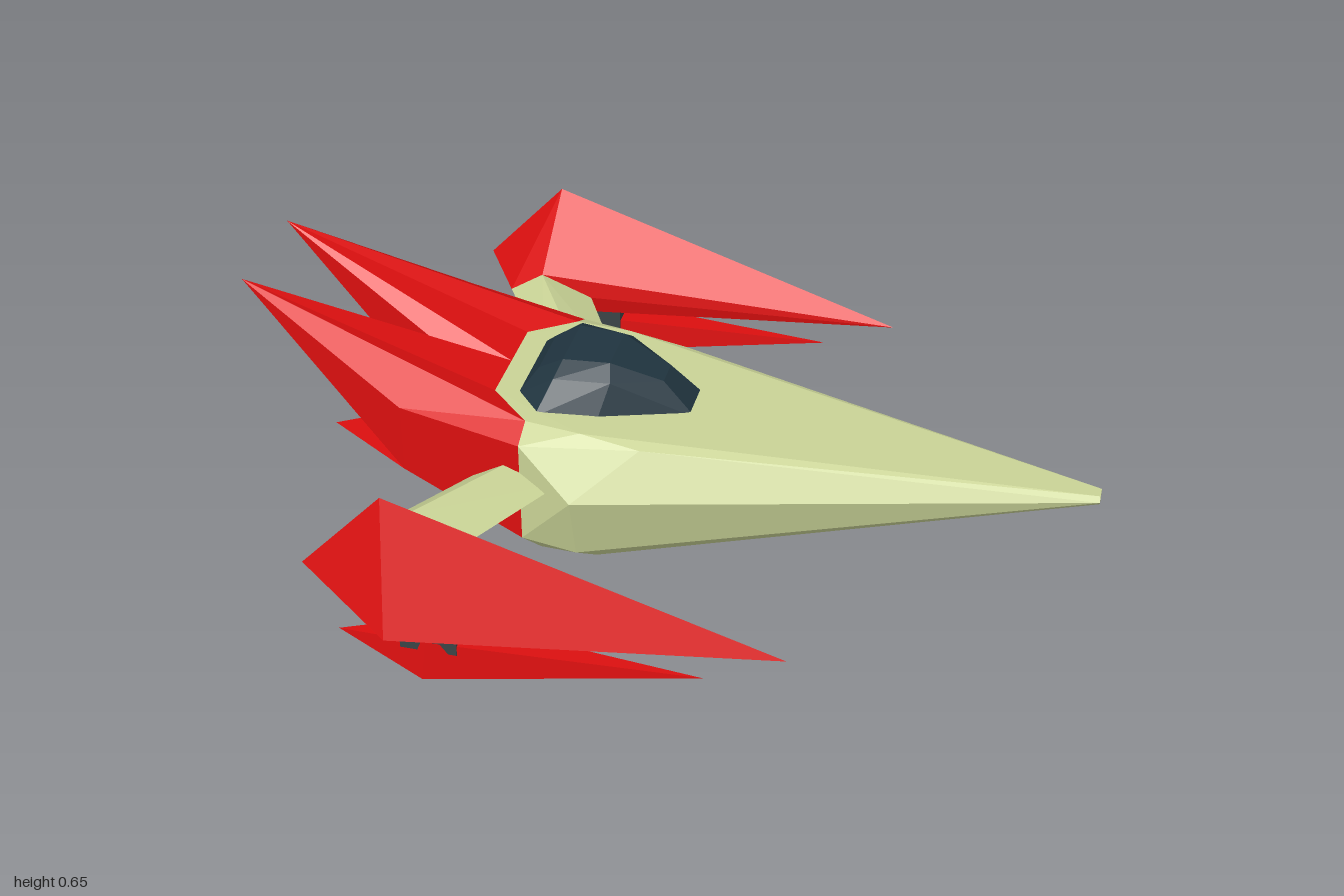
import * as THREE from 'three';
import { ConvexGeometry } from 'three/addons/geometries/ConvexGeometry.js';

const paint = (name, color) => {
  const m = new THREE.MeshStandardMaterial({ color, side: THREE.DoubleSide });
  m.name = name;
  return m;
};

// Faceted solid around a few corner points
function solid(name, points, material) {
  const geo = new ConvexGeometry(points.map(p => new THREE.Vector3(...p)));
  const mesh = new THREE.Mesh(geo, material);
  mesh.name = name;
  return mesh;
}

// Points plus their copies on the other side of the centre plane
const both = pts => pts.flatMap(([x, y, z]) => [[x, y, z], [x, y, -z]]);

// Faceted surface from named corners; side = -1 mirrors it
function facets(name, corners, faces, side, material) {
  const pos = [];
  for (const face of faces) {
    for (let i = 1; i < face.length - 1; i++) {
      const tri = [face[0], face[i], face[i + 1]];
      if (side < 0) tri.reverse();
      for (const k of tri) {
        const [x, y, z] = corners[k];
        pos.push(x, y, z * side);
      }
    }
  }
  const geo = new THREE.BufferGeometry();
  geo.setAttribute('position', new THREE.Float32BufferAttribute(pos, 3));
  geo.computeVertexNormals();
  const mesh = new THREE.Mesh(geo, material);
  mesh.name = name;
  return mesh;
}

export function createModel() {
  const red = paint('red', 0xdb0f0f);
  const green = paint('paleGreen', 0xc9d396);
  const glass = paint('darkBlueGlass', 0x20343f);
  const grey = paint('darkGrey', 0x3a4446);
  const model = new THREE.Group();
  model.name = 'starship';

  // Long pointed hull
  model.add(solid('hull', both([
    [1, 0.29, 0.015], [1, 0.28, 0.027], [1, 0.268, 0.015],
    [-0.03, 0.385, 0.225], [-0.17, 0.41, 0.225], [-0.17, 0.28, 0.325],
    [-0.17, 0.11, 0.28], [-0.16, 0, 0.14],
    [-0.3, 0, 0.14], [-0.3, 0.13, 0.28], [-0.3, 0.39, 0.28],
    [-0.3, 0.42, 0.22], [-0.4, 0.43, 0.13],
  ]), green));

  // Cockpit canopy
  model.add(solid('canopy', both([
    [-0.35, 0.42, 0.115], [-0.29, 0.41, 0.185], [-0.15, 0.4, 0.15], [0.06, 0.375, 0.05],
    [-0.31, 0.47, 0.07], [-0.26, 0.48, 0.125], [-0.13, 0.475, 0.105], [-0.02, 0.455, 0.035],
    [-0.25, 0.505, 0.075], [-0.14, 0.505, 0.065],
  ]), glass));

  // Tail block with an upper and a lower spike on each side
  const tail = {
    a: [-0.3, 0.42, 0.22], b: [-0.4, 0.43, 0.13], c: [-0.4, 0.43, 0],
    d: [-0.58, 0.45, 0], e: [-0.58, 0.45, 0.28], f: [-0.3, 0.39, 0.28],
    g: [-0.58, 0.28, 0.28], h: [-0.3, 0.13, 0.28], i: [-0.3, 0, 0.14],
    m: [-0.58, 0.28, 0], n: [-0.3, 0, 0],
    T: [-1, 0.65, 0.14], L: [-0.8, 0.28, 0.14],
  };
  const redFaces = ['cdT', 'cTb', 'bTa', 'aTe', 'aef', 'fegh', 'Tge', 'Tmg', 'Tdm', 'hgLi', 'gmL'];

  for (const side of [1, -1]) {
    const label = side > 0 ? 'near' : 'far';
    const flip = pts => pts.map(([x, y, z]) => [x, y, z * side]);

    model.add(facets(label + 'TailSpikes', tail, redFaces, side, red));
    model.add(facets(label + 'TailUnderside', tail, ['iLmn'], side, green));

    const wing = new THREE.Group();
    wing.name = label + 'Wing';

    // Diamond-section strut from hull to blade
    const strutEnd = [[-0.57, 0.29, 0.53], [-0.485, 0.345, 0.53], [-0.36, 0.285, 0.545], [-0.48, 0.24, 0.535]];
    const strutRoot = [[-0.4, 0.285, 0.25], [-0.32, 0.33, 0.25], [-0.205, 0.285, 0.25], [-0.32, 0.245, 0.25]];
    wing.add(solid('strut', flip([...strutEnd, ...strutRoot]), green));

    // Large upper blade
    wing.add(solid('upperBlade', flip([
      [0.41, 0.228, 0.68], [-0.475, 0.51, 0.693], [-0.67, 0.3, 0.69],
      [-0.45, 0.21, 0.8], [-0.45, 0.21, 0.62], ...strutEnd,
    ]), red));

    // Short pylon between the blades
    const pylon = new THREE.Mesh(new THREE.BoxGeometry(0.13, 0.09, 0.095), grey);
    pylon.name = 'pylon';
    pylon.position.set(-0.375, 0.185, side * 0.685);
    wing.add(pylon);

    // Small lower blade
    wing.add(solid('lowerBlade', flip([
      [0.23, 0.15, 0.687], [-0.6, 0.125, 0.687],
      [-0.38, 0.165, 0.64], [-0.38, 0.165, 0.735],
      [-0.39, 0.065, 0.632], [-0.39, 0.065, 0.742],
    ]), red));
    model.add(wing);
  }
  return model;
}
